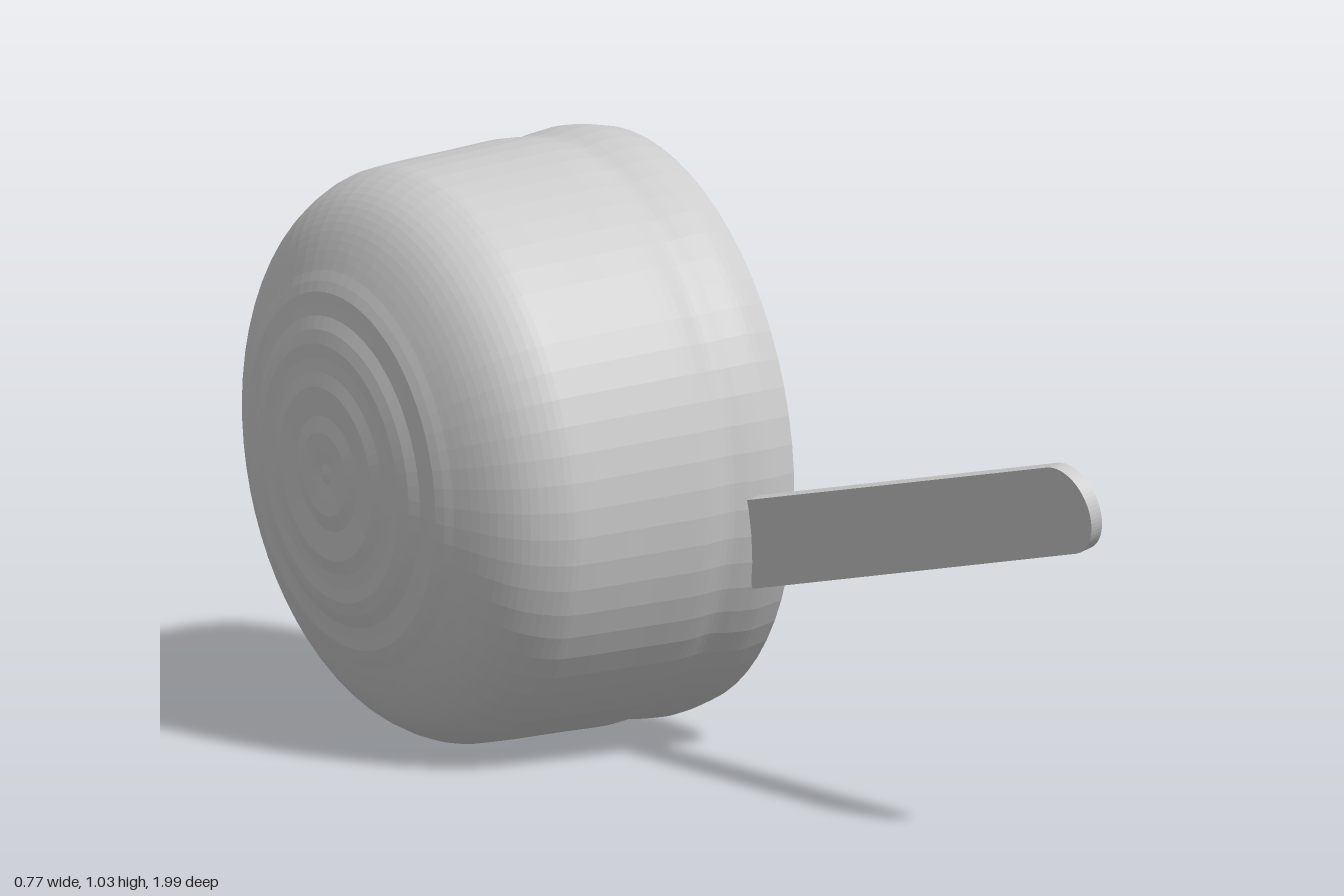
import * as THREE from 'three';

const steel = new THREE.MeshStandardMaterial({ color: 0xcccccc, flatShading: true });
steel.name = 'grey steel';

// Smooth curve through [radius, height] points
const smooth = (pts, n) =>
  new THREE.SplineCurve(pts.map(([r, h]) => new THREE.Vector2(r, h))).getPoints(n);

// Shallow concentric rings across the base
const ripple = (p) => {
  if (p.x < 0.34) p.y += 0.003 * Math.sin(p.x * 75);
  p.x = Math.max(p.x, 0);
  return p;
};

// Thick-walled bowl turned around its axis, mouth at height 0
function makePot() {
  const outside = smooth([
    [0, -0.63], [0.1, -0.628], [0.2, -0.62], [0.29, -0.6], [0.36, -0.573], [0.42, -0.54],
    [0.463, -0.5], [0.492, -0.445], [0.499, -0.39], [0.503, -0.27], [0.506, -0.18],
    [0.501, -0.13], [0.507, -0.09], [0.509, -0.05], [0.499, 0],
  ], 56).map(ripple);
  const inside = smooth([
    [0.47, 0], [0.48, -0.05], [0.478, -0.09], [0.472, -0.13], [0.477, -0.18], [0.474, -0.27],
    [0.47, -0.39], [0.462, -0.44], [0.434, -0.485], [0.395, -0.52], [0.34, -0.547],
    [0.27, -0.572], [0.19, -0.59], [0.1, -0.598], [0, -0.6],
  ], 56).map(ripple);
  const pot = new THREE.Mesh(new THREE.LatheGeometry([...outside, ...inside], 64), steel);
  pot.name = 'pot';
  const axis = new THREE.Vector3(0.973, 0.06, 0.22).normalize();
  pot.quaternion.setFromUnitVectors(new THREE.Vector3(0, 1, 0), axis);
  pot.position.set(0.27, 0.525, -0.417);
  return pot;
}

// Flat bar with a square inner end and a round tip
function makeHandle() {
  const length = 1.02, half = 0.078, thick = 0.024;
  const shape = new THREE.Shape();
  shape.moveTo(half, 0);
  shape.lineTo(half, length - half);
  shape.absarc(0, length - half, half, 0, Math.PI, false);
  shape.lineTo(-half, 0);
  shape.closePath();
  const geo = new THREE.ExtrudeGeometry(shape, { depth: thick, bevelEnabled: false, curveSegments: 16 });
  geo.translate(0, 0, -thick / 2);
  const handle = new THREE.Mesh(geo, steel);
  handle.name = 'handle';
  // Local y runs along the bar, local x across its width
  const along = new THREE.Vector3(-0.12, 0.22, 0.968).normalize();
  const across = new THREE.Vector3(-0.2, 0.945, -0.25);
  across.addScaledVector(along, -across.dot(along)).normalize();
  const normal = new THREE.Vector3().crossVectors(across, along);
  handle.quaternion.setFromRotationMatrix(new THREE.Matrix4().makeBasis(across, along, normal));
  handle.position.set(0.102, 0.388, 0.008);
  return handle;
}

export function createModel() {
  const model = new THREE.Group();
  model.name = 'saucepan';
  model.add(makePot(), makeHandle());
  return model;
}
